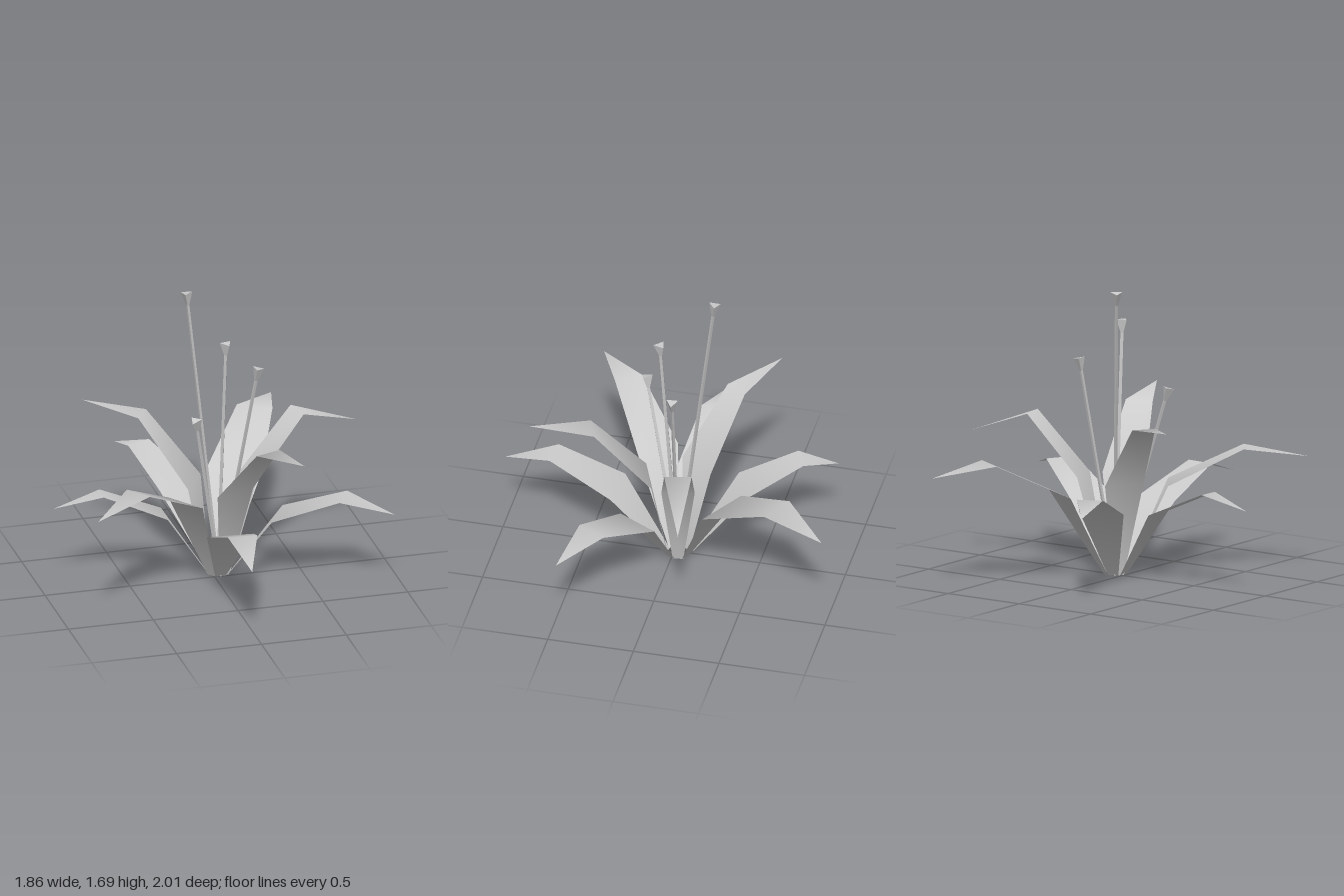
import * as THREE from 'three';

const DEG = Math.PI / 180;
const CENTRE = new THREE.Vector3(0.03, 0, -0.03);

// One flat blade along local +z: base, belly and shoulder cross-sections, then a pointed tip.
// Each row is [reach, height, half width].
function leafGeometry(rows, tip) {
  const pos = [];
  const index = [];
  rows.forEach(([reach, height, half]) => pos.push(-half, height, reach, half, height, reach));
  pos.push(0, tip[1], tip[0]);
  for (let i = 0; i < rows.length - 1; i++) {
    const a = i * 2;
    index.push(a, a + 2, a + 1, a + 1, a + 2, a + 3);
  }
  const last = (rows.length - 1) * 2;
  index.push(last, last + 2, last + 1);
  const geo = new THREE.BufferGeometry();
  geo.setAttribute('position', new THREE.Float32BufferAttribute(pos, 3));
  geo.setIndex(index);
  geo.computeVertexNormals();
  return geo;
}

function faceted(geo) {
  const flat = geo.toNonIndexed();
  flat.computeVertexNormals();
  return flat;
}

// A slim three-sided stalk with a flared head, leaning from the centre to the head's top.
function stamen(x, y, z, material) {
  const group = new THREE.Group();
  group.name = 'stamen';
  const dx = x - CENTRE.x, dz = z - CENTRE.z;
  const length = Math.hypot(dx, y, dz);
  const headHeight = 0.075;

  const stalk = new THREE.Mesh(
    faceted(new THREE.CylinderGeometry(0.011, 0.013, length - headHeight, 3)), material);
  stalk.name = 'stalk';
  stalk.position.y = (length - headHeight) / 2;

  const head = new THREE.Mesh(
    faceted(new THREE.CylinderGeometry(0.038, 0.011, headHeight, 3)), material);
  head.name = 'stamenHead';
  head.position.y = length - headHeight / 2;

  group.add(stalk, head);
  group.position.copy(CENTRE);
  group.rotation.order = 'YXZ';
  group.rotation.y = Math.atan2(dx, dz);
  group.rotation.x = Math.atan2(Math.hypot(dx, dz), y);
  return group;
}

export function createModel() {
  const model = new THREE.Group();
  model.name = 'plant';
  const grey = new THREE.MeshStandardMaterial({ color: 0xcccccc, side: THREE.DoubleSide });
  grey.name = 'plantGrey';

  // Heading in degrees from +z towards +x, then belly, shoulder and tip
  const leaves = [
    [149.3, [0.345, 0.50, 0.16], [0.78, 0.71, 0.105], [1.135, 0.65]],
    [204.2, [0.376, 0.43, 0.127], [0.71, 0.575, 0.076], [0.93, 0.51]],
    [236.8, [0.144, 0.55, 0.117], [0.455, 0.93, 0.07], [0.815, 0.97]],
    [267.0, [0.315, 0.40, 0.09], [0.68, 0.56, 0.06], [0.96, 0.49]],
    [306.0, [0.30, 0.54, 0.125], [0.73, 0.745, 0.083], [1.096, 0.69]],
    [355.3, [0.36, 0.39, 0.135], [0.74, 0.545, 0.085], [1.034, 0.45]],
    [19.8, [0.168, 0.56, 0.124], [0.49, 0.92, 0.08], [0.85, 0.965]],
    [61.0, [0.343, 0.405, 0.13], [0.73, 0.55, 0.092], [1.03, 0.47]],
    [103.3, [0.196, 0.57, 0.095], [0.51, 0.91, 0.078], [0.895, 0.77]],
  ];
  for (const [heading, belly, shoulder, tip] of leaves) {
    const leaf = new THREE.Mesh(leafGeometry([[0.06, 0.01, 0.03], belly, shoulder], tip), grey);
    leaf.name = 'leaf';
    leaf.position.copy(CENTRE);
    leaf.rotation.y = heading * DEG;
    model.add(leaf);
  }

  // Four stamens of different heights
  const heads = [
    [-0.11, 1.68, -0.21],
    [0.05, 1.465, 0.07],
    [0.27, 1.235, -0.05],
    [-0.17, 1.07, 0.205],
  ];
  for (const [x, y, z] of heads) model.add(stamen(x, y, z, grey));

  return model;
}
